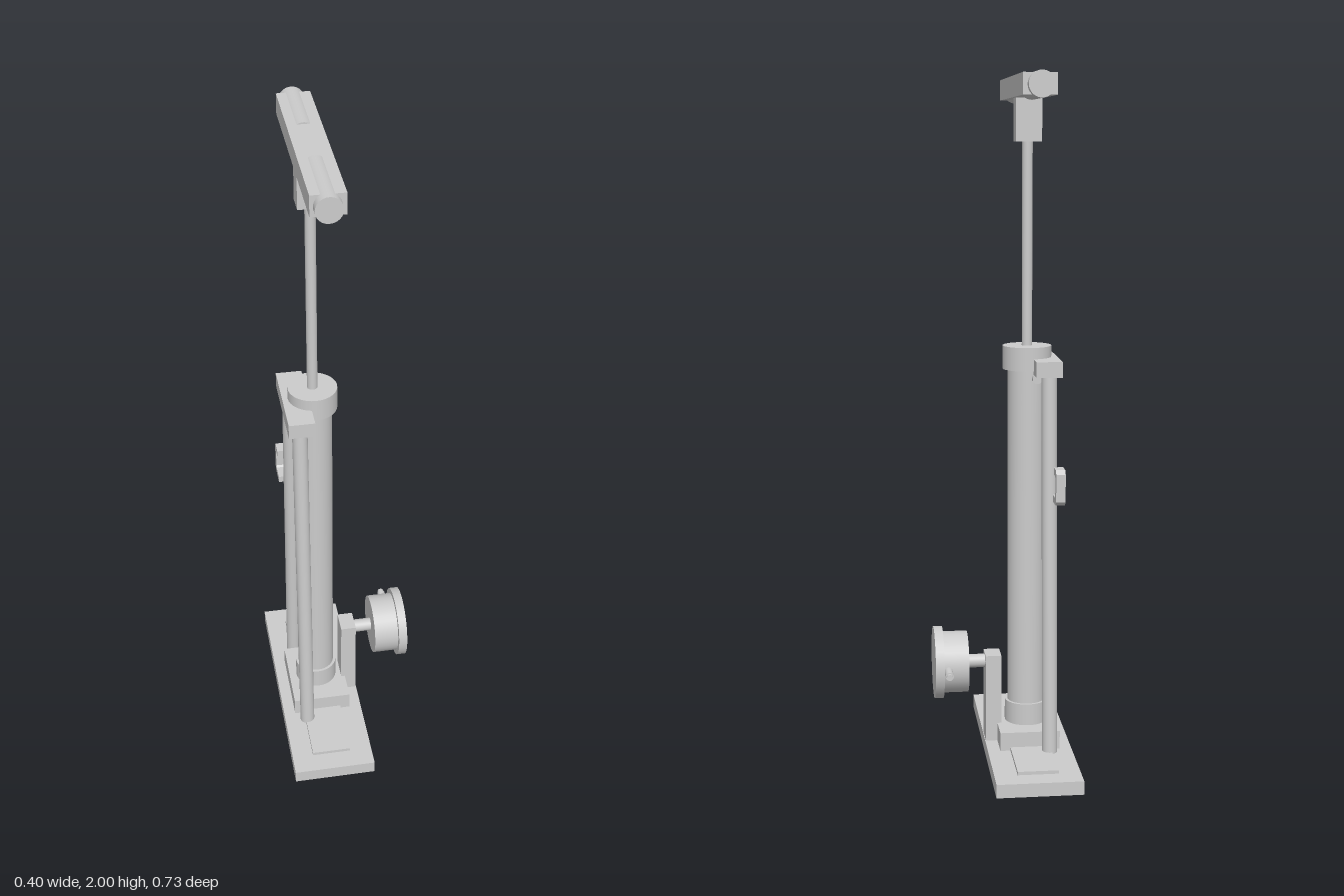
import * as THREE from 'three';

const AXIS_X = -0.078; // centre line of the pump barrel

export function createModel() {
  const group = new THREE.Group();
  const material = new THREE.MeshStandardMaterial({ color: 0xcccccc });

  const add = (name, geometry) => {
    const mesh = new THREE.Mesh(geometry, material);
    mesh.name = name;
    group.add(mesh);
    return mesh;
  };
  // Box given by its minimum and maximum corners
  const box = (name, [x0, y0, z0], [x1, y1, z1]) => {
    const mesh = add(name, new THREE.BoxGeometry(x1 - x0, y1 - y0, z1 - z0));
    mesh.position.set((x0 + x1) / 2, (y0 + y1) / 2, (z0 + z1) / 2);
    return mesh;
  };
  // Round bar between two points
  const rod = (name, from, to, radius) => {
    const a = new THREE.Vector3(...from), b = new THREE.Vector3(...to);
    const dir = b.clone().sub(a);
    const mesh = add(name, new THREE.CylinderGeometry(radius, radius, dir.length(), 32));
    mesh.position.copy(a).add(b).multiplyScalar(0.5);
    mesh.quaternion.setFromUnitVectors(new THREE.Vector3(0, 1, 0), dir.normalize());
    return mesh;
  };
  const upright = (name, y0, y1, radius) => rod(name, [AXIS_X, y0, 0], [AXIS_X, y1, 0], radius);

  // Base
  box('basePlate', [-0.2, 0, -0.367], [0.049, 0.04, 0.367]);
  box('footPad', [-0.136, 0.04, -0.305], [-0.018, 0.05, 0.305]);
  box('barrelBlock', [-0.165, 0.04, -0.12], [0.012, 0.095, 0.12]);

  // Barrel and piston
  upright('barrelCollar', 0.095, 0.16, 0.064);
  upright('barrel', 0.09, 1.17, 0.056);
  upright('barrelCap', 1.165, 1.233, 0.071);
  upright('pistonRod', 1.2, 1.83, 0.015);

  // Handle
  box('handleStem', [-0.116, 1.815, -0.03], [-0.041, 1.945, 0.03]);
  box('handleBar', [-0.123, 1.936, -0.29], [-0.03, 1.995, 0.29]);

  // Struts, mirrored front and back
  box('strutBridge', [-0.165, 1.155, -0.131], [-0.09, 1.2, 0.131]);
  for (const s of [-1, 1]) {
    rod('handleGrip', [AXIS_X, 1.964, s * 0.094], [AXIS_X, 1.964, s * 0.315], 0.036);
    rod('strut', [-0.13, 0.045, s * 0.152], [-0.13, 1.165, s * 0.1], 0.022);
  }
  rod('bridgePin', [-0.1, 1.143, -0.075], [-0.1, 1.143, 0.075], 0.014);

  // Hose hook on the rear strut: a C-shaped bracket with chamfered corners
  const hook = new THREE.Shape([
    [-0.13, 0.797], [-0.19, 0.797], [-0.202, 0.809], [-0.202, 0.888], [-0.19, 0.9], [-0.15, 0.9],
    [-0.15, 0.88], [-0.177, 0.88], [-0.182, 0.875], [-0.182, 0.822], [-0.177, 0.817], [-0.13, 0.817],
  ].map(([z, y]) => new THREE.Vector2(-z, y)));
  const hookMesh = add('hoseHook', new THREE.ExtrudeGeometry(hook, { depth: 0.027, bevelEnabled: false }));
  hookMesh.rotation.y = Math.PI / 2;
  hookMesh.position.x = -0.165;

  // Pressure gauge
  box('gaugePost', [0, 0.04, -0.035], [0.047, 0.305, 0.035]);
  const gaugeY = 0.281;
  const along = (name, x0, x1, r) => rod(name, [x0, gaugeY, 0], [x1, gaugeY, 0], r);
  along('gaugeStem', 0.04, 0.105, 0.02);
  along('gaugeBody', 0.1, 0.176, 0.091);
  along('gaugeRim', 0.174, 0.2, 0.107);
  rod('gaugeValve', [0.162, gaugeY, -0.08], [0.162, gaugeY, -0.137], 0.012);
  rod('valveTip', [0.162, gaugeY, -0.13], [0.162, gaugeY, -0.148], 0.009);

  return group;
}
